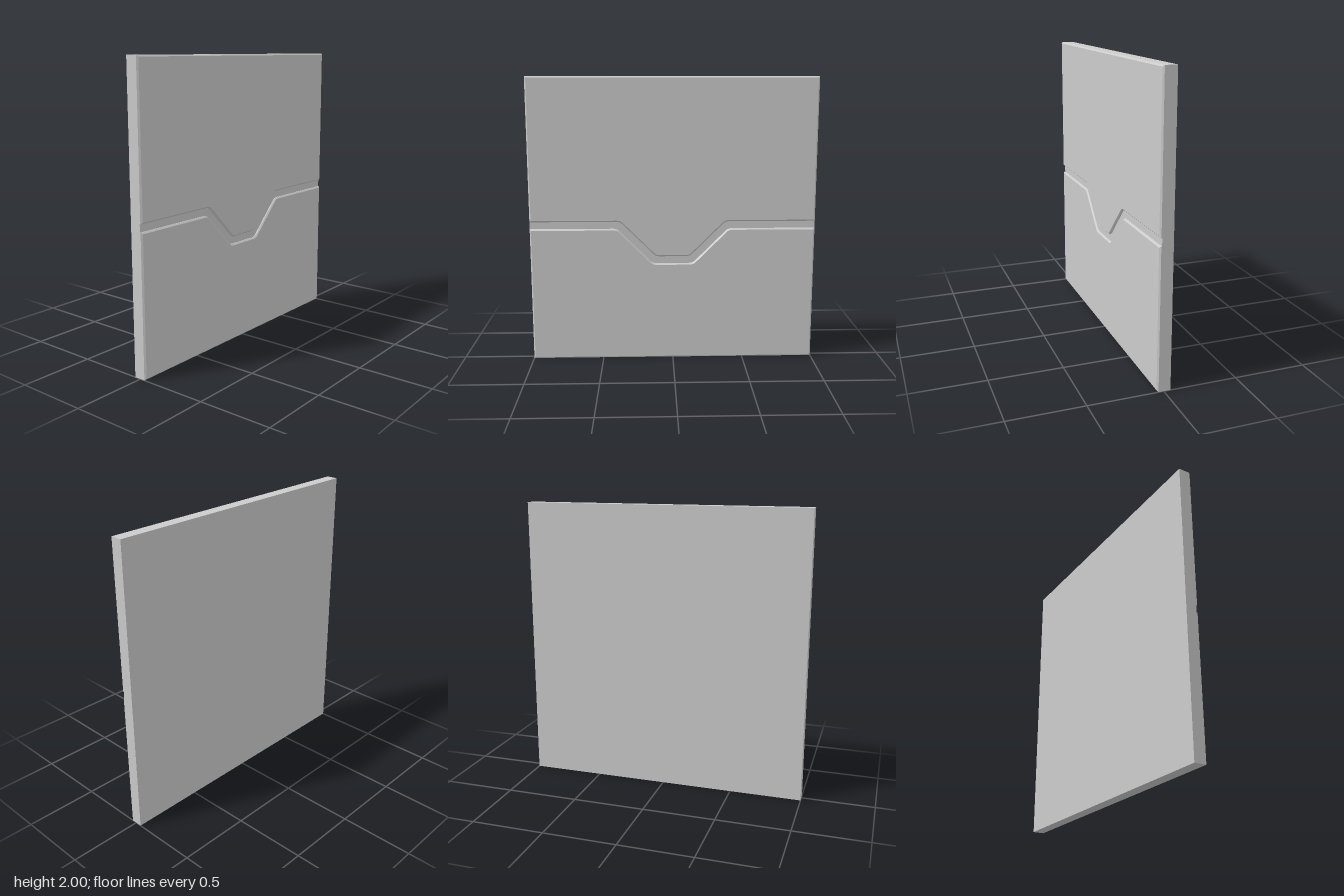
import * as THREE from 'three';
import { toCreasedNormals } from 'three/addons/utils/BufferGeometryUtils.js';

const BACK = -0.045, FLOOR = 0.03, SHOULDER = 0.035, FRONT = 0.045, CHAMFER = 0.01;
const ROUND = 0.025, STEPS = 4;

// Left-to-right seam line with a central dip and softened bends
function seam(y, outerX, innerX) {
  const dip = y - 0.25;
  const corners = [[-1, y], [-outerX, y], [-innerX, dip], [innerX, dip], [outerX, y], [1, y]]
    .map(c => new THREE.Vector2(...c));
  const points = [corners[0]];
  for (let i = 1; i < corners.length - 1; i++) {
    const c = corners[i];
    const toward = p => c.clone().add(p.clone().sub(c).setLength(ROUND));
    const bend = new THREE.QuadraticBezierCurve(toward(corners[i - 1]), c, toward(corners[i + 1]));
    points.push(...bend.getPoints(STEPS));
  }
  points.push(corners[corners.length - 1]);
  return points;
}

// Mitred inset of a counter-clockwise outline
function inset(outline, d) {
  const n = outline.length;
  return outline.map((p, i) => {
    const a = p.clone().sub(outline[(i + n - 1) % n]).normalize();
    const b = outline[(i + 1) % n].clone().sub(p).normalize();
    const na = new THREE.Vector2(-a.y, a.x), nb = new THREE.Vector2(-b.y, b.x);
    return p.clone().addScaledVector(na.add(nb), d / (1 + a.dot(b)));
  });
}

// Raised plate: straight wall, chamfer, then a flat front face
function plateGeometry(outline) {
  const n = outline.length;
  const top = inset(outline, CHAMFER);
  const rings = [[outline, FLOOR], [outline, SHOULDER], [top, FRONT]];
  const positions = rings.flatMap(([ring, z]) => ring.flatMap(p => [p.x, p.y, z]));
  const index = [];
  for (let r = 0; r < 2; r++) {
    for (let i = 0; i < n; i++) {
      const a = r * n + i, b = r * n + (i + 1) % n;
      index.push(a, b, b + n, a, b + n, a + n);
    }
  }
  for (const face of THREE.ShapeUtils.triangulateShape(top, [])) {
    index.push(...face.map(i => i + 2 * n));
  }
  const geometry = new THREE.BufferGeometry();
  geometry.setAttribute('position', new THREE.Float32BufferAttribute(positions, 3));
  geometry.setIndex(index);
  return toCreasedNormals(geometry, 0.4);
}

export function createModel() {
  const group = new THREE.Group();
  group.name = 'groovedPanel';
  const material = new THREE.MeshStandardMaterial({ color: 0xcccccc });
  const add = (name, geometry) => {
    const mesh = new THREE.Mesh(geometry, material);
    mesh.name = name;
    group.add(mesh);
    return mesh;
  };

  // Backing slab, whose front is the groove floor
  const slab = add('backingSlab', new THREE.BoxGeometry(2, 2, FLOOR - BACK));
  slab.position.set(0, 1, (FLOOR + BACK) / 2);

  // Upper plate, with its tongue pointing down
  add('upperPlate', plateGeometry([
    ...seam(1, 0.37, 0.12), new THREE.Vector2(1, 2), new THREE.Vector2(-1, 2),
  ]));

  // Lower plate, with the matching notch
  add('lowerPlate', plateGeometry([
    new THREE.Vector2(-1, 0), new THREE.Vector2(1, 0), ...seam(0.95, 0.39, 0.14).reverse(),
  ]));

  return group;
}
